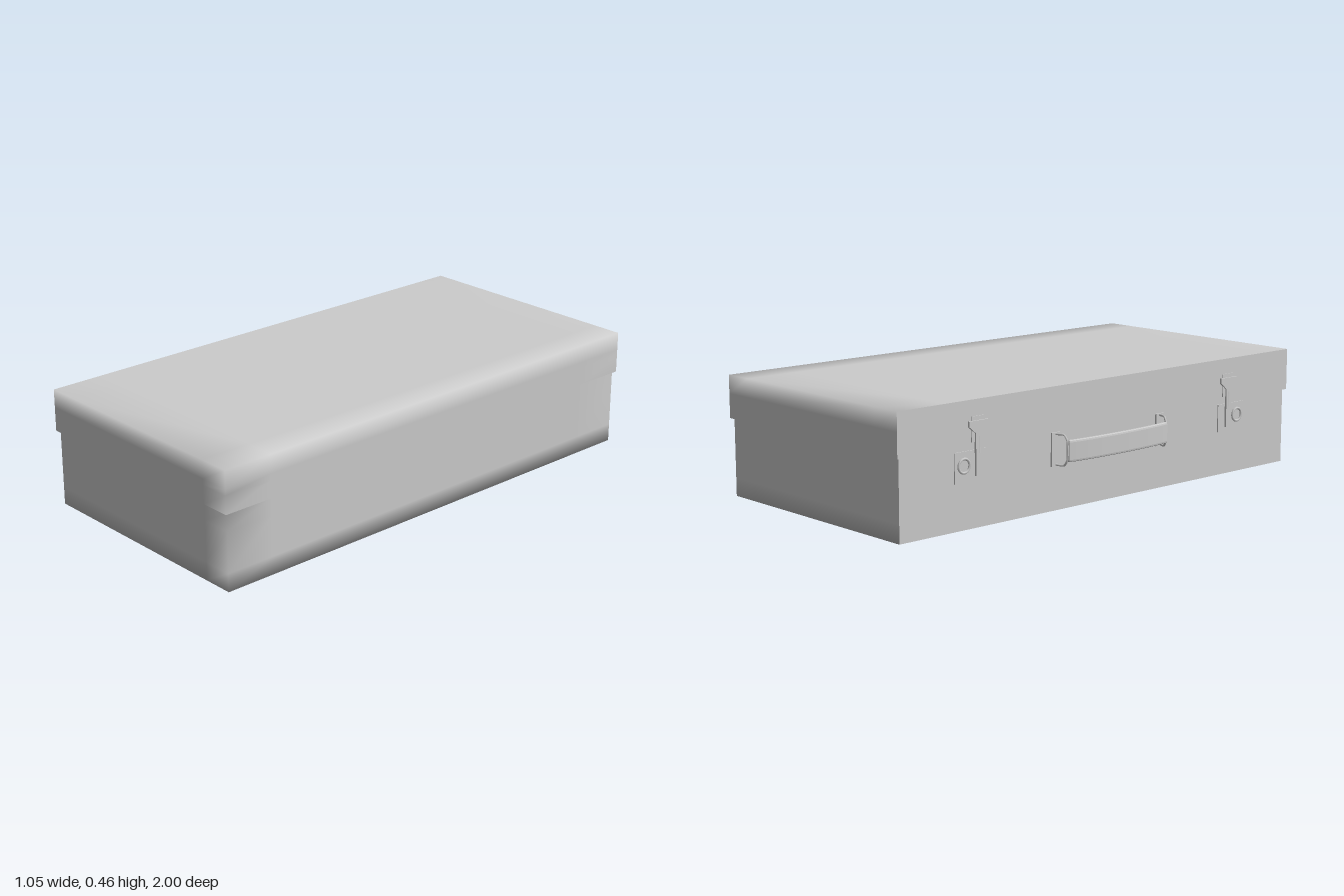
import * as THREE from 'three';
import { mergeVertices, mergeGeometries } from 'three/addons/utils/BufferGeometryUtils.js';

const grey = new THREE.MeshStandardMaterial({ color: 0xcccccc, side: THREE.DoubleSide });

function add(parent, name, geometry) {
  const mesh = new THREE.Mesh(geometry, grey);
  mesh.name = name;
  parent.add(mesh);
  return mesh;
}

// Box with softly shaded edges; the listed faces (box group numbers) stay flat.
function softBox(w, h, d, flatFaces) {
  const box = new THREE.BoxGeometry(w, h, d, 3, 3, 3);
  const p = box.attributes.position;
  const half = [w / 2, h / 2, d / 2];
  const inset = [0.12, 0.07, 0.2];
  for (let i = 0; i < p.count; i++) {
    for (let a = 0; a < 3; a++) {
      const v = p.getComponent(i, a);
      if (Math.abs(v) < half[a] * 0.9) p.setComponent(i, a, Math.sign(v) * (half[a] - inset[a]));
    }
  }
  box.deleteAttribute('normal');
  box.deleteAttribute('uv');
  const pick = (faces) => {
    const g = box.clone();
    const index = [];
    for (const f of faces) {
      const { start, count } = box.groups[f];
      for (let i = start; i < start + count; i++) index.push(box.index.getX(i));
    }
    g.clearGroups();
    g.setIndex(index);
    const merged = mergeVertices(g, 1e-4);
    merged.computeVertexNormals();
    return merged;
  };
  const soft = [0, 1, 2, 3, 4, 5].filter((f) => !flatFaces.includes(f));
  return mergeGeometries([pick(soft), ...flatFaces.map((f) => pick([f]))]);
}

// Plate on the handle side, outlined in (z, y), standing out towards -x from x0.
function sidePlate(points, x0, depth) {
  const shape = new THREE.Shape(points.map(([z, y]) => new THREE.Vector2(z, y)));
  const g = new THREE.ExtrudeGeometry(shape, { depth, bevelEnabled: false });
  return g.rotateY(-Math.PI / 2).translate(x0, 0, 0);
}

const rect = (z0, z1, y0, y1) => [[z0, y0], [z1, y0], [z1, y1], [z0, y1]];

function createLatch(s) {
  const latch = new THREE.Group();
  latch.name = 'latch';
  const at = (pts) => pts.map(([z, y]) => [s * z, y]);
  add(latch, 'latchBackPlate', sidePlate(at(rect(0.6, 0.745, 0.17, 0.28)), -0.452, 0.007));
  add(latch, 'latchLidPlate', sidePlate(at(rect(0.615, 0.675, 0.31, 0.4)), -0.463, 0.005));
  // Hasp with a flared head
  const hasp = [[0.63, 0.19], [0.66, 0.19], [0.66, 0.34], [0.69, 0.365], [0.69, 0.385],
    [0.6, 0.385], [0.6, 0.365], [0.63, 0.34]];
  add(latch, 'latchHasp', sidePlate(at(hasp), -0.466, 0.008));
  const ring = new THREE.TorusGeometry(0.025, 0.005, 6, 20).rotateY(Math.PI / 2);
  add(latch, 'latchRing', ring).position.set(-0.462, 0.23, s * 0.705);
  const pin = new THREE.CylinderGeometry(0.008, 0.008, 0.06, 10);
  add(latch, 'latchPin', pin).position.set(-0.467, 0.3, s * 0.645);
  return latch;
}

function createHandle() {
  const handle = new THREE.Group();
  handle.name = 'handle';
  // Bowed grip: a thin curved strip, extruded upwards
  const strip = new THREE.Shape();
  strip.moveTo(-0.503, -0.25);
  strip.bezierCurveTo(-0.522, -0.13, -0.522, 0.13, -0.503, 0.25);
  strip.lineTo(-0.511, 0.25);
  strip.bezierCurveTo(-0.53, 0.13, -0.53, -0.13, -0.511, -0.25);
  const grip = new THREE.ExtrudeGeometry(strip, {
    depth: 0.064, bevelThickness: 0.008, bevelSize: 0.004, bevelSegments: 2, curveSegments: 16,
  });
  add(handle, 'handleGrip', grip.rotateX(-Math.PI / 2).translate(0, 0.193, 0));
  for (const s of [-1, 1]) {
    // Wire loop through each end of the grip
    const outline = [[-0.458, 0.283], [-0.492, 0.283], [-0.505, 0.262], [-0.508, 0.226],
      [-0.505, 0.19], [-0.492, 0.171], [-0.458, 0.171]];
    const path = new THREE.CatmullRomCurve3(outline.map(
      ([x, y]) => new THREE.Vector3(x, y, s * (0.255 + (x + 0.508) * 0.3))), false, 'catmullrom', 0.3);
    add(handle, 'handleLoop', new THREE.TubeGeometry(path, 32, 0.004, 6));
    add(handle, 'handleMount', sidePlate(rect(s * 0.27 - 0.02, s * 0.27 + 0.02, 0.165, 0.289), -0.452, 0.009));
  }
  return handle;
}

export function createModel() {
  const model = new THREE.Group();
  model.name = 'case';
  // Tray: flat latch side and top
  add(model, 'caseBody', softBox(0.97, 0.297, 1.975, [1, 2])).position.set(0.03, 0.1485, 0);
  // Lid overlapping the tray: flat latch side and underside
  add(model, 'caseLid', softBox(0.99, 0.163, 2, [1, 3])).position.set(0.03, 0.3775, 0);
  for (const s of [-1, 1]) model.add(createLatch(s));
  model.add(createHandle());
  return model;
}
